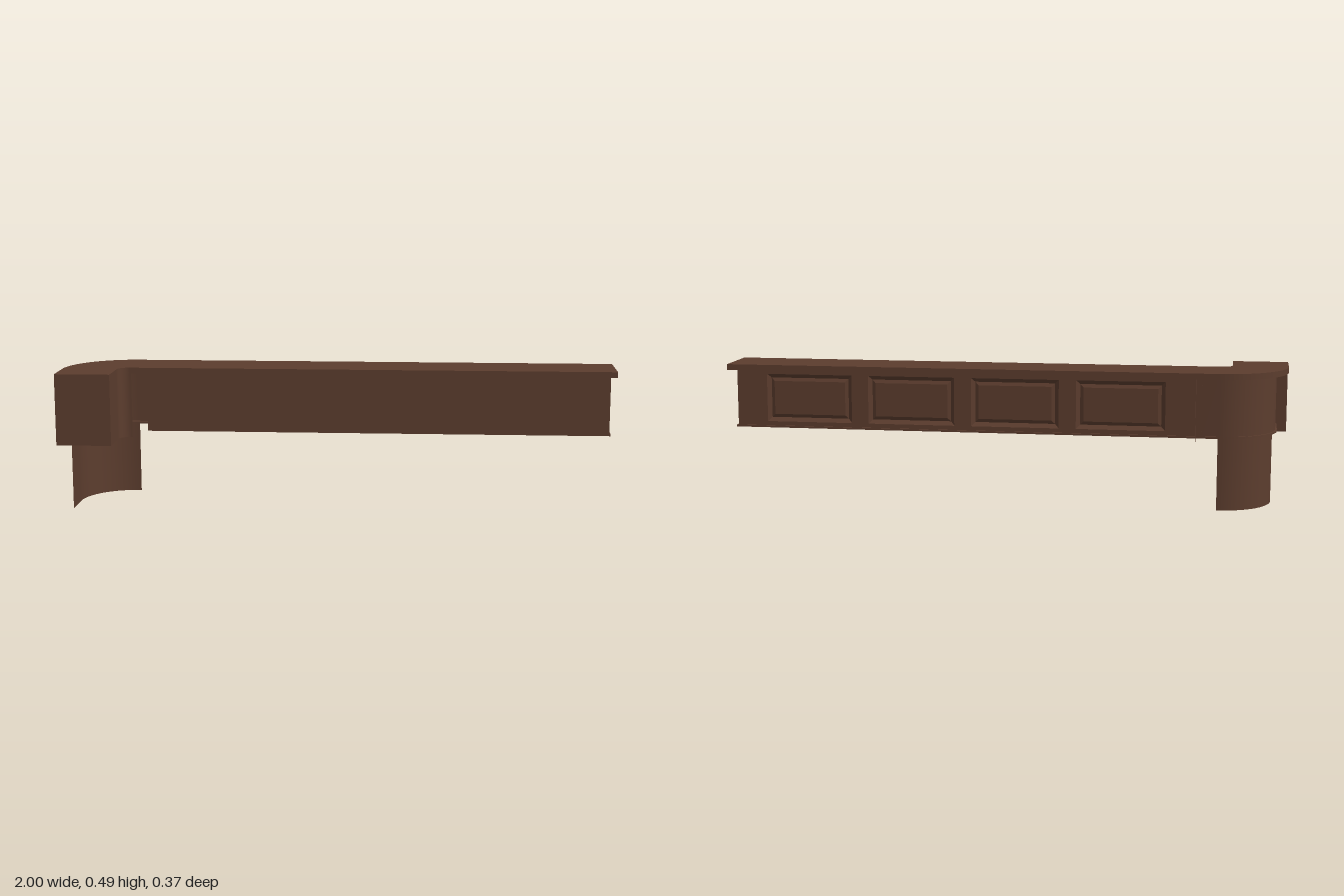
import * as THREE from 'three';

const wood = new THREE.MeshStandardMaterial({ color: 0x5c3d2e, side: THREE.DoubleSide });

// Centre of the corner bend, in plan (x, z)
const CX = -0.762, CZ = 0.055;

// Plan line of the bend at radius r: from the short arm's end at z0, round to x1
function bend(r, z0, x1) {
  const pts = [[CX - r, z0]];
  for (let i = 0; i <= 24; i++) {
    const a = (i / 24) * Math.PI / 2;
    pts.push([CX - r * Math.cos(a), CZ - r * Math.sin(a)]);
  }
  if (x1 > CX + 0.001) pts.push([x1, CZ - r]);
  return pts;
}

// Thin upright wall following a plan line
function sheet(pts, y0, y1) {
  const pos = [], idx = [];
  pts.forEach(([x, z], i) => {
    pos.push(x, y0, z, x, y1, z);
    const k = i * 2;
    if (i) idx.push(k - 2, k - 1, k, k, k - 1, k + 1);
  });
  const g = new THREE.BufferGeometry();
  g.setAttribute('position', new THREE.Float32BufferAttribute(pos, 3));
  g.setIndex(idx);
  g.computeVertexNormals();
  return g;
}

// Horizontal slab from a plan outline
function slab(pts, y0, y1) {
  const shape = new THREE.Shape(pts.map(([x, z]) => new THREE.Vector2(x, z)));
  const g = new THREE.ExtrudeGeometry(shape, { depth: y1 - y0, bevelEnabled: false });
  return g.rotateX(Math.PI / 2).translate(0, y1, 0);
}

function box(x0, x1, y0, y1, z0, z1) {
  return new THREE.BoxGeometry(x1 - x0, y1 - y0, z1 - z0)
    .translate((x0 + x1) / 2, (y0 + y1) / 2, (z0 + z1) / 2);
}

function rect(Type, x0, x1, y0, y1) {
  return new Type([[x0, y0], [x1, y0], [x1, y1], [x0, y1]].map(p => new THREE.Vector2(...p)));
}

// Picture-frame moulding sloping from its outer edge (zOut) to its inner edge (zIn)
function slopedFrame(x0, x1, y0, y1, w, zOut, zIn) {
  const corners = d => [[x0 + d, y0 + d], [x1 - d, y0 + d], [x1 - d, y1 - d], [x0 + d, y1 - d]];
  const o = corners(0), n = corners(w), pos = [];
  for (let i = 0; i < 4; i++) {
    const j = (i + 1) % 4;
    const A = [...o[i], zOut], B = [...o[j], zOut], C = [...n[j], zIn], D = [...n[i], zIn];
    pos.push(...A, ...C, ...B, ...A, ...D, ...C);
  }
  const g = new THREE.BufferGeometry();
  g.setAttribute('position', new THREE.Float32BufferAttribute(pos, 3));
  g.computeVertexNormals();
  return g;
}

export function createModel() {
  const root = new THREE.Group();
  root.name = 'barCounter';
  const add = (name, geometry, parent = root) => {
    const m = new THREE.Mesh(geometry, wood);
    m.name = name;
    parent.add(m);
    return m;
  };

  // Counter top: short arm, bend and long straight run
  const inner = bend(0.04, 0.183, 1);
  add('counterTop', slab([...bend(0.238, 0.183, 1), ...inner.slice().reverse()], 0.47, 0.491));

  // Corner: inside wall, arm end plate and joint plate
  add('cornerInnerWall', sheet(bend(0.04, 0.183, -0.757), 0.234, 0.49));
  add('armEndPlate', sheet([[-1, 0.183], [-0.802, 0.183]], 0.234, 0.49));
  add('jointPlate', sheet([[-0.68, -0.183], [-0.68, -0.142]], 0.234, 0.472));

  // Corner: curved outer wall, its lower base and the ledge between them
  add('cornerOuterWall', sheet(bend(0.196, 0.183, -0.68), 0.26, 0.472));
  add('cornerBase', sheet(bend(0.185, 0.171, -0.757), 0, 0.262));
  const ledge = [...bend(0.202, 0.183, -0.68), ...bend(0.182, 0.183, -0.68).reverse()];
  add('cornerLedge', slab(ledge, 0.258, 0.265));

  // Straight cabinet with its bottom ledge
  const X0 = -0.7, X1 = 0.976;
  add('cabinetBody', box(X0, X1, 0.262, 0.471, -0.128, 0.015));
  add('cabinetLedge', box(X0, 0.981, 0.258, 0.265, -0.147, 0.015));

  // Back face: one frame with four openings, each with moulding and raised panel
  const face = rect(THREE.Shape, X0, X1, 0.262, 0.471);
  const half = 0.157, yLo = 0.28, yHi = 0.453;
  for (let i = 0; i < 4; i++) {
    const cx = 0.708 - i * 0.375, a = cx - half, b = cx + half;
    face.holes.push(rect(THREE.Path, a, b, yLo, yHi));
    const panel = new THREE.Group();
    panel.name = 'backPanel' + (i + 1);
    root.add(panel);
    add('moulding', slopedFrame(a, b, yLo, yHi, 0.014, -0.140, -0.130), panel);
    add('panelBevel', slopedFrame(a + 0.014, b - 0.014, yLo + 0.014, yHi - 0.014, 0.012, -0.130, -0.135), panel);
    add('panelField', box(a + 0.026, b - 0.026, yLo + 0.026, yHi - 0.026, -0.135, -0.128), panel);
  }
  add('backFrame', new THREE.ExtrudeGeometry(face, { depth: 0.014, bevelEnabled: false }).translate(0, 0, -0.142));

  return root;
}
